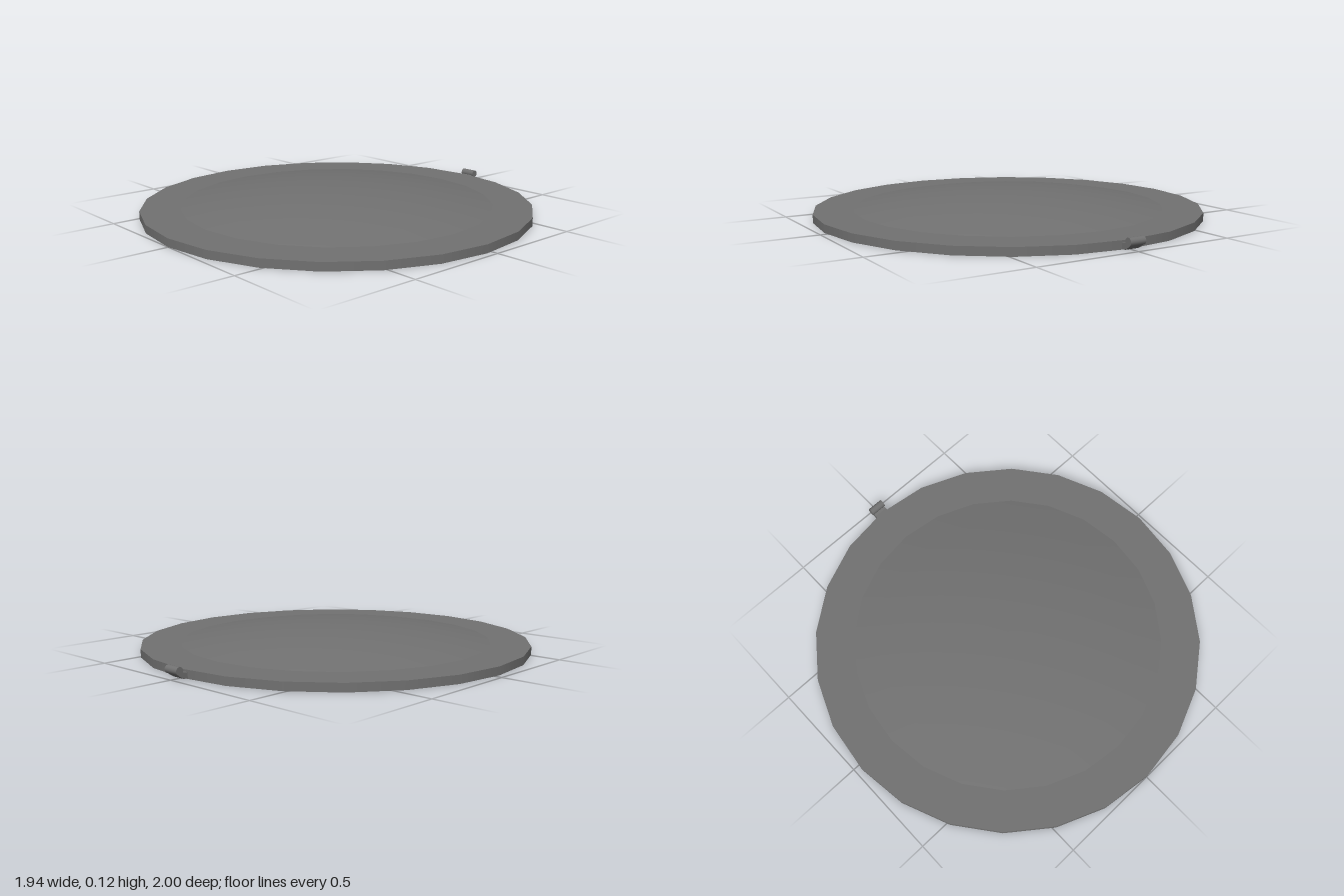
import * as THREE from 'three';

const SIDES = 24;
const RADIUS = 0.97, RIM_TOP = 0.04;
const DOME_RADIUS = 0.775, DOME_RISE = 0.075;
const PANEL_RADIUS = 0.485;

export function createModel() {
  const group = new THREE.Group();
  const grey = new THREE.MeshStandardMaterial({ color: 0x717171 });
  grey.name = 'dark grey metal';

  // The lid sits slightly forward to balance the hinge tab behind it
  const lid = new THREE.Group();
  lid.name = 'lid';
  lid.position.z = 0.03;
  group.add(lid);

  const add = (parent, name, geometry) => {
    const mesh = new THREE.Mesh(geometry, grey);
    mesh.name = name;
    parent.add(mesh);
    return mesh;
  };

  // Each strip is turned separately so the edges between them stay sharp
  const turned = (name, points) => add(lid, name,
    new THREE.LatheGeometry(points.map(([r, y]) => new THREE.Vector2(r, y)), SIDES));

  turned('undersidePanel', [[0, 0], [PANEL_RADIUS, 0]]);
  turned('undersideRing', [[PANEL_RADIUS, 0], [RADIUS, 0]]);
  turned('rimWall', [[RADIUS, 0], [RADIUS, RIM_TOP]]);
  turned('rimTop', [[RADIUS, RIM_TOP], [DOME_RADIUS, RIM_TOP]]);

  // Shallow domed centre, close to a spherical cap
  const dome = [];
  for (let i = 0; i <= 6; i++) {
    const t = 1 - i / 6;
    dome.push([DOME_RADIUS * t, RIM_TOP + DOME_RISE * (1 - t * t)]);
  }
  turned('dome', dome);

  // Hinge arm: side profile in (back distance, y), extruded across x
  const profile = new THREE.Shape([
    [0.92, 0.003], [0.955, 0.003], [0.968, 0.01], [0.992, 0.027],
    [0.98, 0.042], [0.962, 0.034], [0.95, 0.03], [0.92, 0.03],
  ].map(([d, y]) => new THREE.Vector2(d, y)));
  const armShape = new THREE.ExtrudeGeometry(profile, { depth: 0.07, bevelEnabled: false });
  armShape.translate(0, 0, -0.035);
  armShape.rotateY(Math.PI / 2);
  add(group, 'hingeArm', armShape);

  // Hinge barrel
  const barrel = new THREE.CylinderGeometry(0.019, 0.019, 0.08, 16);
  barrel.rotateZ(Math.PI / 2);
  add(group, 'hingeBarrel', barrel).position.set(0, 0.041, -0.981);

  return group;
}
